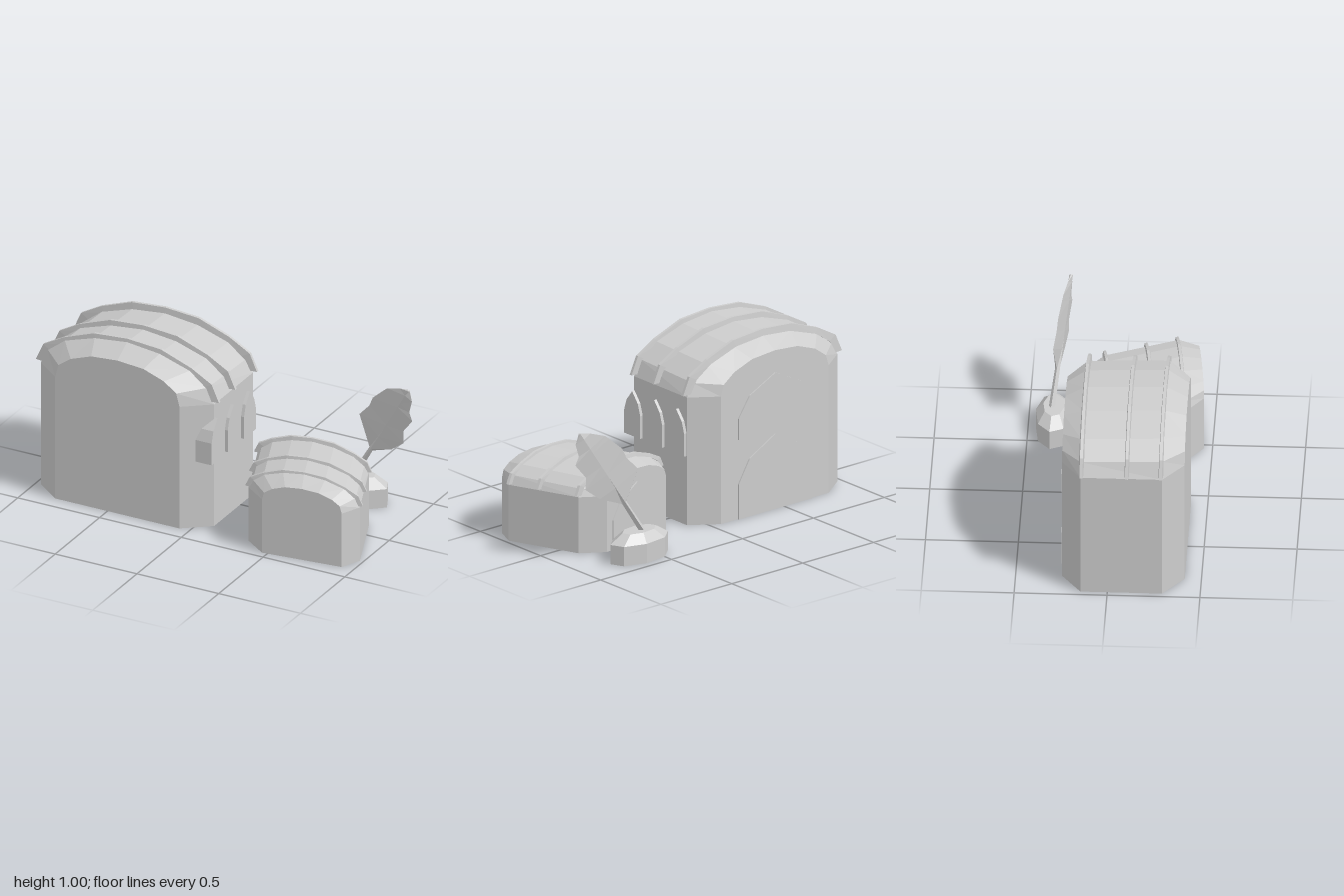
import * as THREE from 'three';

const stone = new THREE.MeshStandardMaterial({ color: 0xcccccc, flatShading: true, side: THREE.DoubleSide });
stone.name = 'pale grey';

// Skin a list of point rings; optionally close each ring and cap both ends.
function loft(rings, closed) {
  const pos = [];
  const tri = (...pts) => pts.forEach((p) => pos.push(...p));
  const n = rings[0].length;
  for (let i = 0; i < rings.length - 1; i++) {
    for (let j = 0; j < (closed ? n : n - 1); j++) {
      const k = (j + 1) % n;
      const a = rings[i][j], b = rings[i][k], c = rings[i + 1][k], d = rings[i + 1][j];
      tri(a, b, c);
      tri(a, c, d);
    }
  }
  const first = rings[0], last = rings[rings.length - 1];
  for (let j = 1; j < n - 1; j++) {
    tri(first[0], first[j + 1], first[j]);
    tri(last[0], last[j], last[j + 1]);
  }
  const g = new THREE.BufferGeometry();
  g.setAttribute('position', new THREE.Float32BufferAttribute(pos, 3));
  g.computeVertexNormals();
  return g;
}

function addMesh(group, name, geometry) {
  const m = new THREE.Mesh(geometry, stone);
  m.name = name;
  group.add(m);
  return m;
}

// Half profile (outer point first, centre point last) to a full arch.
const mirror = (half) => [
  ...half.map(([x, y]) => [-x, y]),
  ...half.slice(0, -1).reverse(),
];

const WALL = mirror([[0.53, 0], [0.53, 0.73], [0.49, 0.82], [0.385, 0.9], [0.2, 0.96], [0, 0.982]]);
const GABLE = mirror([[0.38, 0], [0.38, 0.73], [0.36, 0.805], [0.285, 0.86], [0.16, 0.905], [0, 0.918]]);
const RIB_OUT = mirror([[0.56, 0.745], [0.515, 0.845], [0.39, 0.915], [0.205, 0.983], [0, 0.999]]);
const RIB_IN = mirror([[0.505, 0.745], [0.468, 0.82], [0.37, 0.885], [0.19, 0.945], [0, 0.962]]);

// Vaulted shell with chamfered ends and an open base
function shellGeometry() {
  const ring = (profile, z, drop) => profile.map(([x, y]) => [x, y > 0.75 ? y - drop : y, z]);
  return loft([ring(GABLE, 0.41, 0), ring(WALL, 0.295, 0), ring(WALL, -0.145, 0.016), ring(GABLE, -0.25, 0.013)], false);
}

// Roof rib following the vault, narrower on its outer face
function ribGeometry(z) {
  return loft(RIB_OUT.map(([x, y], i) => {
    const [u, v] = RIB_IN[i];
    return [[x, y, z - 0.008], [x, y, z + 0.008], [u, v, z + 0.014], [u, v, z - 0.014]];
  }), true);
}

// Pointed-arch slab, its outer face towards +z
function archGeometry(halfWidth, base, spring, shoulder, top, depth) {
  const s = new THREE.Shape();
  s.moveTo(-halfWidth, base);
  s.lineTo(halfWidth, base);
  s.lineTo(halfWidth, spring);
  s.lineTo(halfWidth * 0.7, shoulder);
  s.lineTo(0, top);
  s.lineTo(-halfWidth * 0.7, shoulder);
  s.lineTo(-halfWidth, spring);
  s.closePath();
  return new THREE.ExtrudeGeometry(s, { depth, bevelEnabled: false });
}
const backArch = (...args) => archGeometry(...args, 0.035).rotateY(Math.PI).translate(0, 0, -0.223);

// Move every vertex of a geometry by a rule
function warp(g, rule) {
  const p = g.attributes.position;
  for (let i = 0; i < p.count; i++) p.setXYZ(i, ...rule(p.getX(i), p.getY(i), p.getZ(i)));
  g.computeVertexNormals();
  return g;
}

function makeHall(name, rule, arches) {
  const hall = new THREE.Group();
  hall.name = name;
  addMesh(hall, 'vaultedShell', warp(shellGeometry(), rule));
  for (const z of [0.288, 0.105, -0.14]) addMesh(hall, 'roofRib', warp(ribGeometry(z), rule));
  for (const a of arches) addMesh(hall, 'backArchPanel', warp(backArch(...a), rule));
  return hall;
}

export function createModel() {
  const model = new THREE.Group();
  model.name = 'vaultedHallsAndQuill';

  // Large hall with two panels at the back
  const large = makeHall('largeHall', (x, y, z) => [x - 0.44, y, z], [
    [0.26, 0, 0.2, 0.33, 0.43],
    [0.26, 0.455, 0.575, 0.69, 0.78],
  ]);
  // Three pointed windows on its left wall
  for (const z of [0.29, 0.108, -0.075]) {
    const g = archGeometry(0.067, 0.395, 0.525, 0.59, 0.65, 0.1).rotateY(Math.PI / 2);
    addMesh(large, 'sideWindow', g.translate(0.008, 0, z));
  }
  model.add(large);

  // Small hall: same parts, lower, turned and skewed
  model.add(makeHall('smallHall', (x, y, z) => {
    const t = z - 0.08;
    return [
      0.58 + 0.605 * x + 0.36 * t,
      y < 0.73 ? y * 0.438 : 0.32 + (y - 0.73) * 0.56,
      0.134 - 0.068 * x + 0.895 * t,
    ];
  }, [[0.31, 0, 0.39, 0.6, 0.77]]));

  // Inkwell: eight-sided, oval, open below
  const well = [[1, 0], [1, 0.11], [0.58, 0.16], [0, 0.16]].map(([r, y]) => new THREE.Vector2(r, y));
  const wellMesh = addMesh(model, 'inkwell', new THREE.LatheGeometry(well, 8, Math.PI / 5));
  wellMesh.scale.set(0.192, 1, 0.1);
  wellMesh.position.set(0.61, 0, -0.36);

  // Quill, laid out along a leaning axis in a near-upright plane
  const quill = new THREE.Group();
  quill.name = 'quill';
  const at = (along, side, lift) => {
    const x = 0.6 + 0.516 * along + 0.856 * side;
    return [x, 0.16 + 0.856 * along - 0.516 * side, -0.365 + 0.235 * (x - 0.62) + lift];
  };
  const shaft = [[-0.02, 0.017], [0.3, 0.012], [0.6, 0.004]];
  addMesh(quill, 'quillShaft', loft(shaft.map(([s, r]) => [at(s, -r, 0), at(s, 0, r), at(s, r, 0), at(s, 0, -r)]), true));
  // Vane rows: distance along the shaft, left width, right width
  const vane = [
    [0.2, 0.015, 0.015], [0.31, 0.163, 0.1], [0.41, 0.142, 0.138], [0.47, 0.15, 0.1],
    [0.57, 0.12, 0.112], [0.6, 0.11, 0.07], [0.67, 0.05, 0.05], [0.71, 0.006, 0.006],
  ];
  addMesh(quill, 'quillVane', loft(vane.map(([s, l, r]) => [at(s, -l, 0), at(s, 0, 0.01), at(s, r, 0), at(s, 0, -0.01)]), true));
  model.add(quill);

  return model;
}
